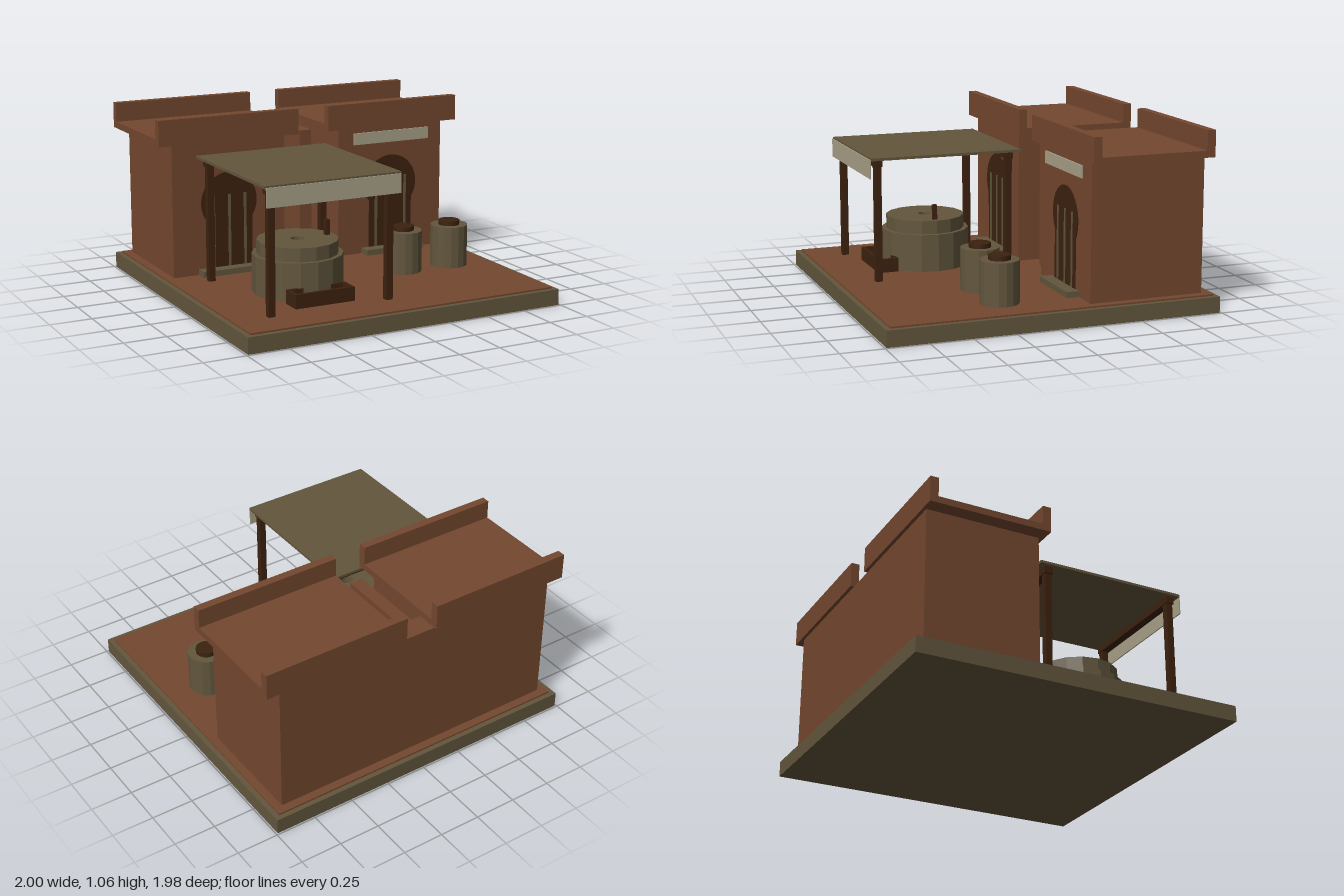
import * as THREE from 'three';

const material = (name, color) => {
  const m = new THREE.MeshStandardMaterial({ color });
  m.name = name;
  return m;
};

export function createModel() {
  const model = new THREE.Group();
  const clay = material('red clay', 0x74472f);
  const stone = material('olive stone', 0x62563d);
  const wood = material('dark wood', 0x3c220f);
  const cloth = material('pale cloth', 0xa9a188);

  const add = (name, geometry, mat, parent = model) => {
    const mesh = new THREE.Mesh(geometry, mat);
    mesh.name = name;
    parent.add(mesh);
    return mesh;
  };
  // Box given by its limits on each axis
  const box = (name, mat, [x0, x1], [y0, y1], [z0, z1], parent) => {
    const g = new THREE.BoxGeometry(x1 - x0, y1 - y0, z1 - z0);
    g.translate((x0 + x1) / 2, (y0 + y1) / 2, (z0 + z1) / 2);
    return add(name, g, mat, parent);
  };
  const group = (name) => {
    const g = new THREE.Group();
    g.name = name;
    model.add(g);
    return g;
  };
  const floor = 0.105;

  // Plinth and courtyard
  box('plinth', stone, [-0.99, 0.99], [0, 0.095], [-0.99, 0.99]);
  box('courtyard', clay, [-0.96, 0.96], [0.09, floor], [-0.96, 0.96]);

  // Horseshoe doorway outline, centred on x = 0
  const doorway = new THREE.Shape();
  const legAngle = -Math.acos(0.15 / 0.18);
  doorway.moveTo(-0.15, floor);
  doorway.lineTo(0.15, floor);
  doorway.absarc(0, 0.535, 0.18, legAngle, Math.PI - legAngle, false);
  doorway.closePath();

  // Two houses with overhanging roofs, parapets, doorways and steps
  for (const s of [-1, 1]) {
    const house = group(s < 0 ? 'rightHouse' : 'leftHouse');
    const span = (a, b) => (s < 0 ? [-b, -a] : [a, b]);
    box('walls', clay, span(0.185, 0.91), [floor, 0.906], [-0.91, -0.22], house);
    box('roof', clay, span(0.1, 1), [0.905, 0.945], [-0.93, -0.19], house);
    box('frontParapet', clay, span(0.1, 1), [0.945, 1.06], [-0.24, -0.19], house);
    box('backParapet', clay, span(0.1, 1), [0.945, 1.06], [-0.93, -0.88], house);
    const x = s * 0.55;
    const door = add('doorway',
      new THREE.ExtrudeGeometry(doorway, { depth: 0.004, bevelEnabled: false, curveSegments: 24 }), wood, house);
    door.position.set(x, 0, -0.22);
    for (const i of [-1, 0, 1]) {
      const bx = x + i * 0.102;
      box('doorBar', stone, [bx - 0.008, bx + 0.008], [0.14, 0.58], [-0.217, -0.211], house);
    }
    box('doorStep', stone, [x - 0.2, x + 0.2], [floor, 0.14], [-0.22, -0.145], house);
  }
  box('signCloth', cloth, [0.285, 0.81], [0.8, 0.872], [-0.21, -0.2]);

  // Wall closing the alley and the partition inside it
  box('alleyBackWall', clay, [-0.185, 0.185], [floor, 0.904], [-0.91, -0.78]);
  box('alleyPartition', clay, [-0.04, 0.04], [floor, 0.904], [-0.79, -0.3]);

  // Awning
  const awning = group('awning');
  box('canopy', stone, [-0.79, 0.05], [0.83, 0.846], [-0.14, 0.785], awning);
  box('valance', cloth, [-0.782, 0.045], [0.725, 0.836], [0.785, 0.792], awning);
  for (const z of [-0.075, 0.735]) {
    box('beam', wood, [-0.765, 0.025], [0.79, 0.83], [z - 0.025, z + 0.025], awning);
    for (const x of [-0.735, -0.002])
      box('post', wood, [x - 0.02, x + 0.02], [floor, 0.8], [z - 0.02, z + 0.02], awning);
  }

  // Hand mill: base stone, pierced runner stone and handle
  const mill = group('mill');
  const facetedStone = stone.clone();
  facetedStone.flatShading = true;
  const base = add('baseStone', new THREE.CylinderGeometry(0.265, 0.265, 0.225, 16), facetedStone, mill);
  base.position.y = 0.2175;
  const ring = [[0.04, 0.33], [0.237, 0.33], [0.237, 0.41], [0.04, 0.41], [0.04, 0.33]];
  add('runnerStone', new THREE.LatheGeometry(ring.map(([r, y]) => new THREE.Vector2(r, y)), 16), facetedStone, mill);
  box('millHandle', wood, [0.176, 0.202], [0.4, 0.5], [-0.013, 0.013], mill);
  mill.position.set(-0.368, 0, 0.327);

  // Open trough in front of the mill
  const trough = group('trough');
  box('troughFloor', wood, [-0.555, -0.185], [floor, 0.125], [0.555, 0.68], trough);
  for (const z of [0.555, 0.66])
    box('troughSide', wood, [-0.555, -0.185], [floor, 0.187], [z, z + 0.02], trough);
  for (const x of [-0.555, -0.205])
    box('troughEnd', wood, [x, x + 0.02], [floor, 0.187], [0.565, 0.67], trough);

  // Storage jars with lids
  for (const x of [0.38, 0.7]) {
    const jar = group('jar');
    add('jarBody', new THREE.CylinderGeometry(0.113, 0.113, 0.25, 16), facetedStone, jar).position.y = 0.23;
    add('jarLid', new THREE.CylinderGeometry(0.064, 0.064, 0.03, 16), wood, jar).position.y = 0.367;
    jar.position.set(x, 0, 0.242);
  }
  return model;
}
